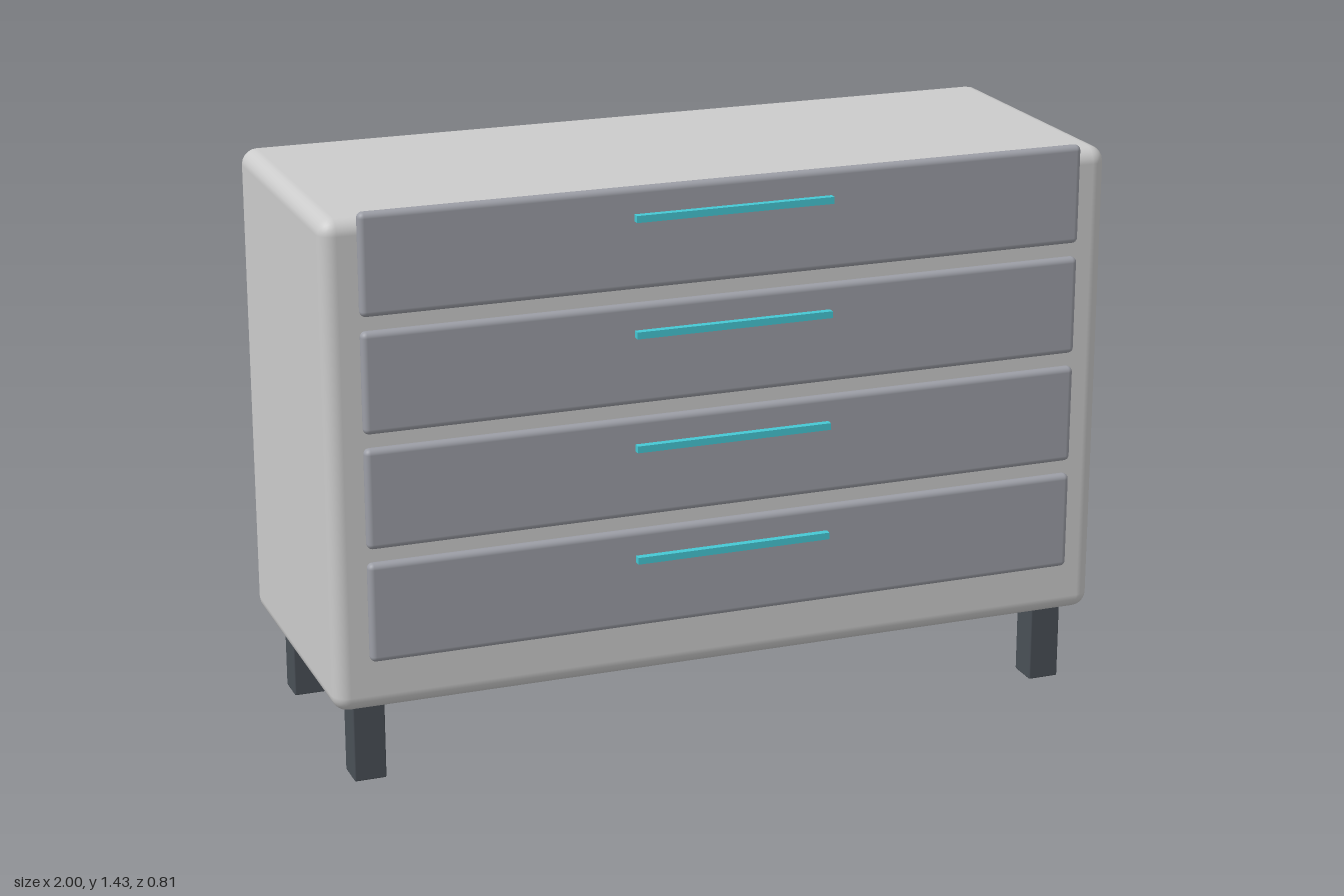
import * as THREE from 'three';
import { RoundedBoxGeometry } from 'three/addons/geometries/RoundedBoxGeometry.js';

const material = (color) => new THREE.MeshStandardMaterial({ color });

export function createModel() {
  const model = new THREE.Group();
  model.name = 'chestOfDrawers';
  const grey = material(0xcccccc);
  const drawerGrey = material(0x9c9ea6);
  const dark = material(0x4a5057);
  const cyan = material(0x45c8d4);

  function add(name, geometry, mat, x, y, z) {
    const mesh = new THREE.Mesh(geometry, mat);
    mesh.name = name;
    mesh.position.set(x, y, z);
    model.add(mesh);
  }

  // Cabinet with softly rounded edges
  add('cabinet', new RoundedBoxGeometry(2, 1.215, 0.765, 3, 0.04), grey, 0, 0.81, -0.02);

  // Four drawer fronts, each with a slim bar handle above its middle
  const drawerGeometry = new RoundedBoxGeometry(1.83, 0.248, 0.031, 3, 0.014);
  const handleGeometry = new THREE.BoxGeometry(0.5, 0.017, 0.022);
  for (let i = 0; i < 4; i++) {
    const y = 0.46 + i * 0.2835;
    add(`drawerFront${i + 1}`, drawerGeometry, drawerGrey, 0, y, 0.3725);
    add(`handle${i + 1}`, handleGeometry, cyan, 0, y + 0.052, 0.395);
  }

  // Square legs
  const legGeometry = new RoundedBoxGeometry(0.08, 0.205, 0.082, 1, 0.004);
  for (const [side, x] of [['left', 0.903], ['right', -0.903]]) {
    add(`${side}FrontLeg`, legGeometry, dark, x, 0.1025, 0.264);
    add(`${side}BackLeg`, legGeometry, dark, x, 0.1025, -0.303);
  }
  return model;
}
